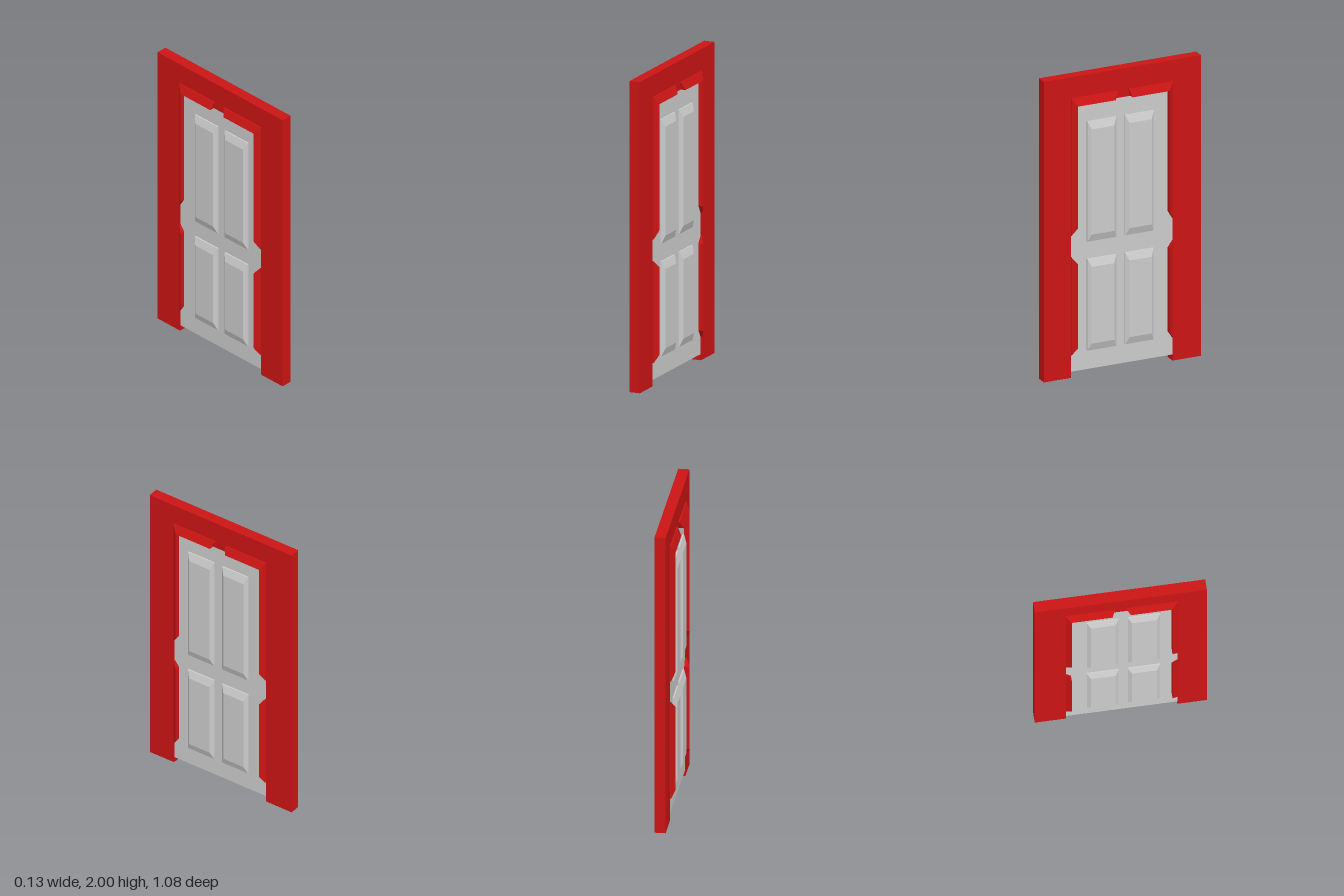
import * as THREE from 'three';
import { ConvexGeometry } from 'three/addons/geometries/ConvexGeometry.js';

const red = new THREE.MeshStandardMaterial({ color: 0xcc1414, flatShading: true });
const grey = new THREE.MeshStandardMaterial({ color: 0xcccccc, flatShading: true });

const T = 0.035;            // half thickness of the frame
const ZL = 0.355, ZR = -0.345; // sides of the opening
const TOP = 1.86;           // top of the opening

// The door stands in the y-z plane; solids are symmetric in x.
// Each entry is [half thickness, y, z].
function solid(name, points, material) {
  const corners = points.flatMap(([x, y, z]) => [
    new THREE.Vector3(x, y, z), new THREE.Vector3(-x, y, z),
  ]);
  const mesh = new THREE.Mesh(new ConvexGeometry(corners), material);
  mesh.name = name;
  return mesh;
}

function slab(name, halfX, y0, y1, z0, z1, material) {
  const mesh = new THREE.Mesh(new THREE.BoxGeometry(halfX * 2, y1 - y0, z1 - z0), material);
  mesh.position.set(0, (y0 + y1) / 2, (z0 + z1) / 2);
  mesh.name = name;
  return mesh;
}

// Door panel raised on both faces, with bevelled edges
function raisedPanel(y0, y1, z0, z1) {
  const b = 0.022, v = 0.05;
  return solid('raisedPanel', [
    [0.042, y0, z0], [0.042, y0, z1], [0.042, y1, z0], [0.042, y1, z1],
    [0.06, y0 + v, z0 + b], [0.06, y0 + v, z1 - b],
    [0.06, y1 - v, z0 + b], [0.06, y1 - v, z1 - b],
  ], grey);
}

export function createModel() {
  const model = new THREE.Group();
  model.name = 'door';

  // Surround: two jambs and a lintel in one piece
  const outline = new THREE.Shape([
    [-0.54, 0], [-ZL, 0], [-ZL, TOP], [-ZR, TOP], [-ZR, 0], [0.54, 0], [0.54, 2], [-0.54, 2],
  ].map(([s, y]) => new THREE.Vector2(s, y)));
  const frameGeometry = new THREE.ExtrudeGeometry(outline, { depth: T * 2, bevelEnabled: false });
  frameGeometry.translate(0, 0, -T).rotateY(Math.PI / 2);
  const frame = new THREE.Mesh(frameGeometry, red);
  frame.name = 'frame';
  model.add(frame);

  // Block in the gap of the head moulding
  model.add(slab('headBlock', T, 1.81, TOP, -0.06, 0.065, red));

  // Door leaf
  model.add(slab('doorLeaf', 0.033, 0.04, 1.84, ZR, ZL, grey));

  // Side mouldings: wedges rising inwards, with slanted ends
  const low = 0.043, high = 0.067;
  for (const [outer, inner] of [[ZL, 0.32], [ZR, -0.312]]) {
    for (const [y0, i0, i1, y1] of [[0.15, 0.2, 0.76, 0.805], [0.945, 1.0, 1.81, TOP]]) {
      model.add(solid('sideMoulding', [
        [low, y0, outer], [low, y1, outer], [high, i0, inner], [high, i1, inner],
      ].concat([[0.01, i0, inner], [0.01, i1, inner]]), red));
    }
  }

  // Head mouldings on each side of the middle gap
  for (const [z0, i0, i1, z1] of [[0.035, 0.06, 0.32, ZL], [-0.04, -0.055, -0.312, ZR]]) {
    model.add(solid('headMoulding', [
      [low, TOP, z0], [low, TOP, z1], [high, 1.81, i0], [high, 1.81, i1],
    ], red));
  }

  // Two columns of panels, tall above short
  for (const [z0, z1] of [[0.045, 0.245], [-0.212, -0.015]]) {
    model.add(raisedPanel(0.89, 1.69, z0, z1));
    model.add(raisedPanel(0.165, 0.775, z0, z1));
  }

  return model;
}
